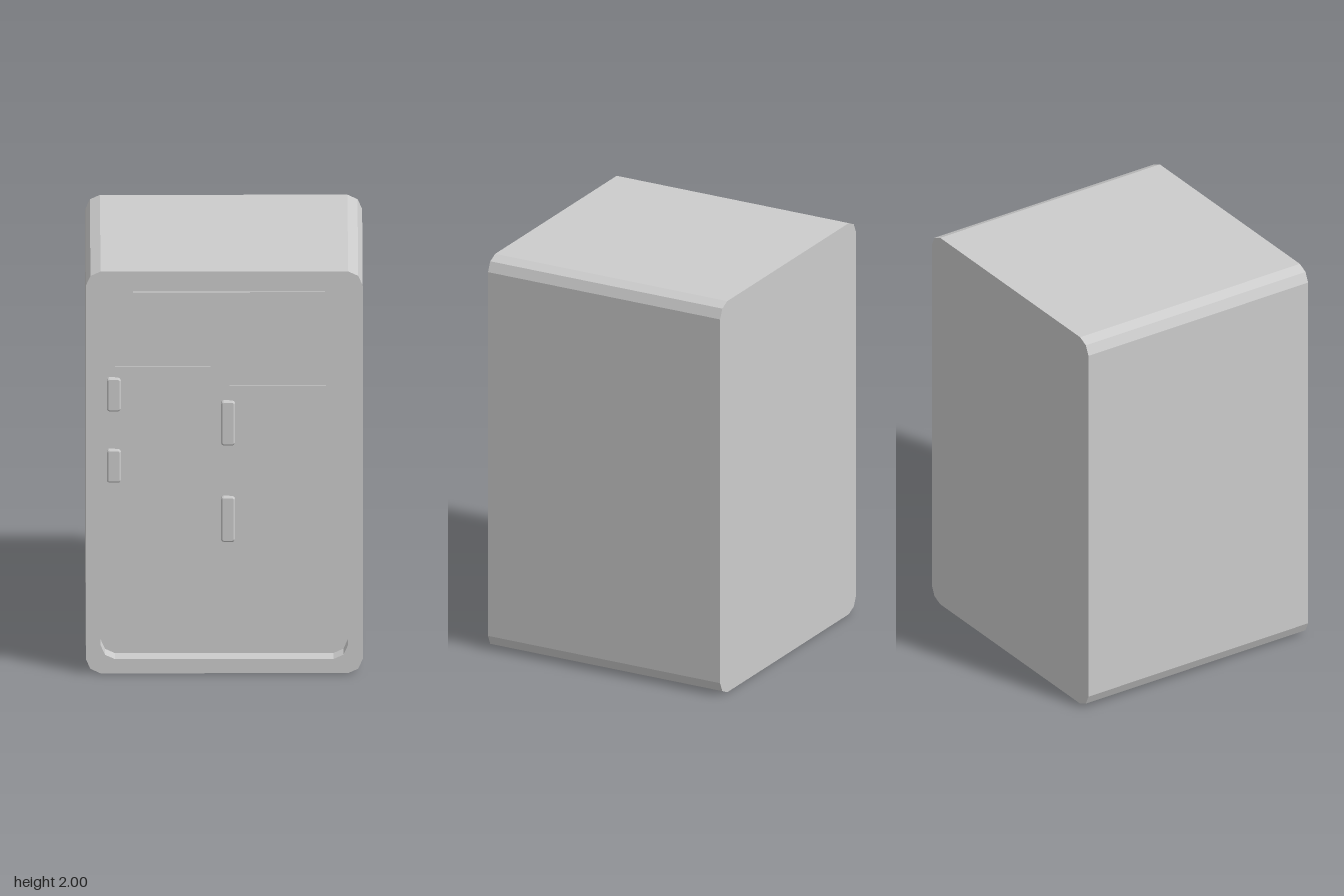
import * as THREE from 'three';

const FRONT = 0.635, FLOOR = 0.535;

// Rectangle with two-step chamfered corners; a = large offset, b = small offset
function outline(Type, x0, x1, y0, y1, a = 0.07, b = 0.022) {
  const pts = [
    [x0 + a, y0], [x1 - a, y0], [x1 - b, y0 + b], [x1, y0 + a],
    [x1, y1 - a], [x1 - b, y1 - b], [x1 - a, y1], [x0 + a, y1],
    [x0 + b, y1 - b], [x0, y1 - a], [x0, y0 + a], [x0 + b, y0 + b],
  ];
  return new Type(pts.map(([x, y]) => new THREE.Vector2(x, y)));
}

export function createModel() {
  const group = new THREE.Group();
  const material = new THREE.MeshStandardMaterial({ color: 0xcccccc, flatShading: true });

  const add = (name, geometry) => {
    const mesh = new THREE.Mesh(geometry, material);
    mesh.name = name;
    group.add(mesh);
  };
  const slab = (shape, z0, z1) =>
    new THREE.ExtrudeGeometry(shape, { depth: z1 - z0, bevelEnabled: false }).translate(0, 0, z0);

  // Solid cabinet, its front cap being the floor of the recess
  add('cabinet', slab(outline(THREE.Shape, -0.66, 0.66, 0, 2), -FRONT, FLOOR));

  // Raised frame around the recessed front
  const rim = outline(THREE.Shape, -0.66, 0.66, 0, 2);
  rim.holes.push(outline(THREE.Path, -0.59, 0.59, 0.07, 1.93));
  add('frontFrame', slab(rim, FLOOR, FRONT));

  // Thin plates on the recessed front: a sign panel and two doors
  const plate = (name, x0, x1, y0, y1, t) =>
    add(name, new THREE.BoxGeometry(x1 - x0, y1 - y0, t)
      .translate((x0 + x1) / 2, (y0 + y1) / 2, FLOOR + t / 2));
  plate('upperPanel', -0.435, 0.48, 1.565, 1.87, 0.012);
  plate('smallDoor', -0.52, -0.065, 0.87, 1.5, 0.012);
  plate('largeDoor', 0.025, 0.485, 0.555, 1.405, 0.012);

  // Hinges with softened edges, two per door
  const hinges = [
    [-0.56, 0.925, 1.09], [-0.56, 1.28, 1.445],
    [-0.015, 0.63, 0.855], [-0.015, 1.11, 1.33],
  ];
  const bevel = 0.007;
  for (const [x, y0, y1] of hinges) {
    const shape = outline(THREE.Shape, x + bevel, x + 0.067 - bevel, y0 + bevel, y1 - bevel, 0.006, 0.002);
    add('hinge', new THREE.ExtrudeGeometry(shape, {
      depth: 0.02, bevelEnabled: true, bevelSize: bevel, bevelThickness: bevel, bevelSegments: 1,
    }).translate(0, 0, FLOOR));
  }
  return group;
}
